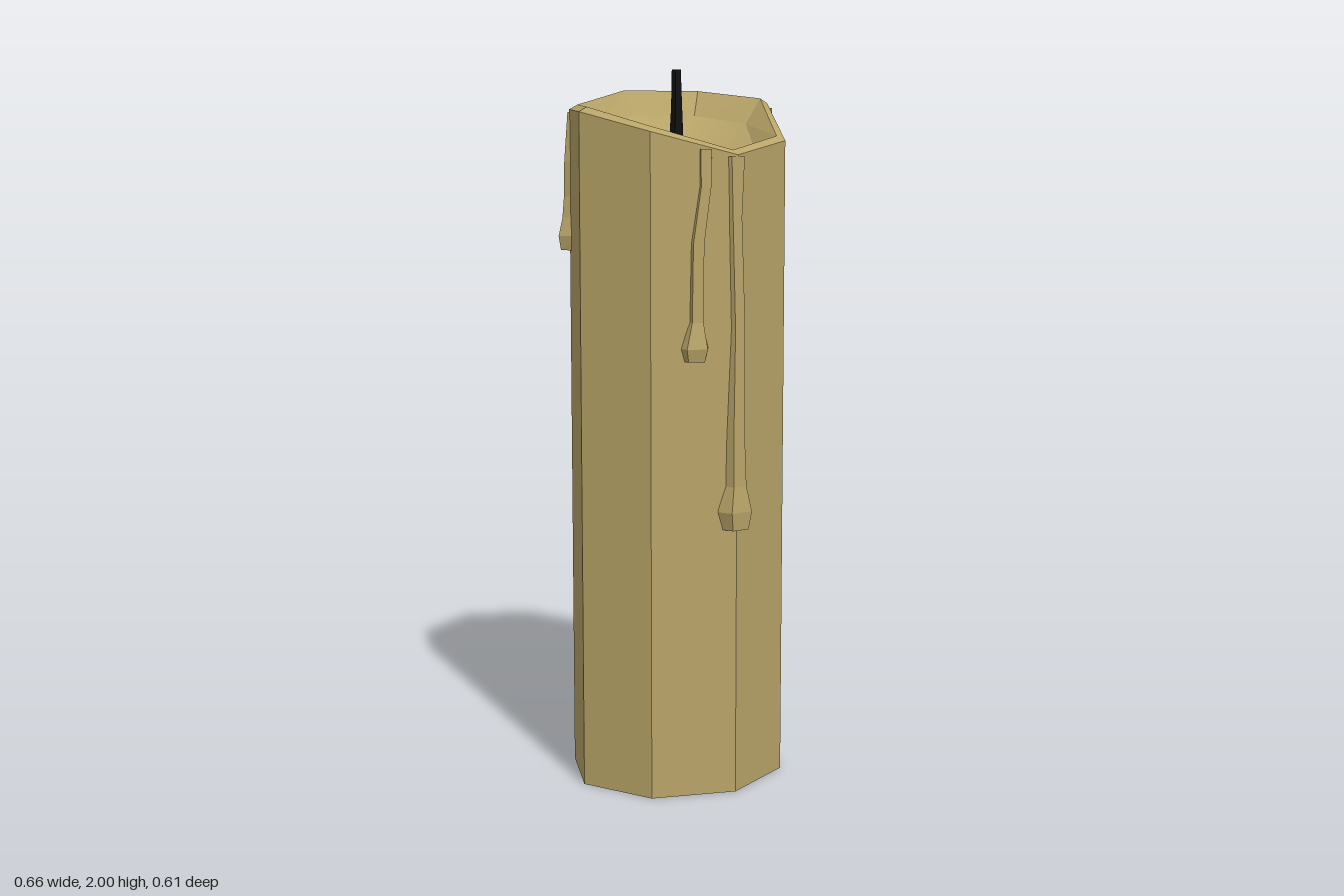
import * as THREE from 'three';

const CX = -0.013, CZ = -0.013, RX = 0.317, RZ = 0.292;
// rim height at each of the eight corners, from +x round through +z
const RIM = [1.915, 1.805, 1.765, 1.825, 1.88, 1.893, 1.94, 1.94];

const wax = new THREE.MeshStandardMaterial({ color: 0xb8a468, flatShading: true });
const smoothWax = new THREE.MeshStandardMaterial({ color: 0xb8a468 });
const char = new THREE.MeshStandardMaterial({ color: 0x111111, flatShading: true });

// Joins equal-length rings of points, listed from bottom to top, turning from +x towards +z
function loft(rings, capStart, capEnd) {
  const n = rings[0].length, pos = rings.flat(2), idx = [];
  for (let r = 0; r < rings.length - 1; r++) {
    for (let i = 0; i < n; i++) {
      const a = r * n + i, b = r * n + (i + 1) % n;
      idx.push(a, a + n, b, b, a + n, b + n);
    }
  }
  const e = (rings.length - 1) * n;
  for (let i = 1; i < n - 1; i++) {
    if (capStart) idx.push(0, i, i + 1);
    if (capEnd) idx.push(e, e + i + 1, e + i);
  }
  const g = new THREE.BufferGeometry();
  g.setAttribute('position', new THREE.Float32BufferAttribute(pos, 3));
  g.setIndex(idx);
  g.computeVertexNormals();
  return g;
}

// Octagon ring of the candle at a given scale and height rule
function octagon(scale, height) {
  return RIM.map((h, i) => {
    const a = i * Math.PI / 4;
    return [CX + RX * scale * Math.cos(a), height(h), CZ + RZ * scale * Math.sin(a)];
  });
}

// Wax run: rows of [y, sideways shift, half width, depth], bottom to top, on a wall facing `angle`
function drip(x, z, angle, rows) {
  const out = [Math.cos(angle), Math.sin(angle)], side = [-out[1], out[0]];
  const rings = rows.map(([y, shift, w, d]) =>
    [[-w, -0.03], [-0.62 * w, d], [0.62 * w, d], [w, -0.03]].map(([s, o]) =>
      [x + side[0] * (s + shift) + out[0] * o, y, z + side[1] * (s + shift) + out[1] * o]));
  return loft(rings, true, true);
}

export function createModel() {
  const group = new THREE.Group();
  group.name = 'candle';
  const add = (geometry, material, name) => {
    const mesh = new THREE.Mesh(geometry, material);
    mesh.name = name;
    group.add(mesh);
  };

  // outer wall, bevelled rim and steep inner wall
  add(loft([
    octagon(1, () => 0),
    octagon(1, h => h),
    octagon(0.92, h => h + 0.013),
    octagon(0.76, h => h - 0.06),
  ], true, false), wax, 'candleBody');

  // melted hollow sinking to the wick, smoothly shaded
  add(loft([
    octagon(0.76, h => h - 0.06),
    octagon(0.02, () => 1.62),
  ], false, true), smoothWax, 'meltedHollow');

  // slightly uneven square wick
  const wick = [[1.58, 0.018, 0], [1.78, 0.015, 0], [1.9, 0.011, 0.001], [2, 0.009, 0]]
    .map(([y, r, dx]) => [[1, 1], [-1, 1], [-1, -1], [1, -1]]
      .map(([sx, sz]) => [CX + dx + sx * r, y, CZ + sz * r]));
  add(loft(wick, true, true), char, 'wick');

  // wax runs ending in thick drops
  add(drip(-0.013, 0.279, Math.PI / 2, [
    [0.75, 0, 0.042, 0.02], [0.8, 0, 0.054, 0.025], [0.87, 0, 0.034, 0.016],
    [1.0, 0.002, 0.03, 0.014], [1.3, -0.004, 0.026, 0.008],
    [1.6, 0.004, 0.024, 0.004], [1.76, 0, 0.034, 0.001],
  ]), wax, 'frontLongDrip');
  add(drip(-0.112, 0.242, 1.937, [
    [1.215, 0.013, 0.036, 0.022], [1.25, 0.013, 0.046, 0.03], [1.32, 0.008, 0.025, 0.014],
    [1.53, 0.005, 0.024, 0.012], [1.68, -0.016, 0.022, 0.008], [1.78, -0.017, 0.024, 0.004],
  ]), wax, 'frontSideDrip');
  add(drip(0.303, -0.013, 0, [
    [1.43, -0.002, 0.032, 0.022], [1.48, -0.002, 0.04, 0.027], [1.53, 0, 0.028, 0.018],
    [1.6, -0.001, 0.024, 0.014], [1.72, 0.011, 0.022, 0.01], [1.9, 0.01, 0.022, 0.001],
  ]), wax, 'leftDrip');
  add(drip(-0.237, -0.22, -2.37, [
    [1.5, 0, 0.032, 0.022], [1.54, 0, 0.04, 0.027], [1.59, 0.002, 0.028, 0.018],
    [1.65, 0.004, 0.024, 0.014], [1.75, -0.006, 0.022, 0.01], [1.885, 0, 0.022, 0.001],
  ]), wax, 'backRightDrip');
  return group;
}
